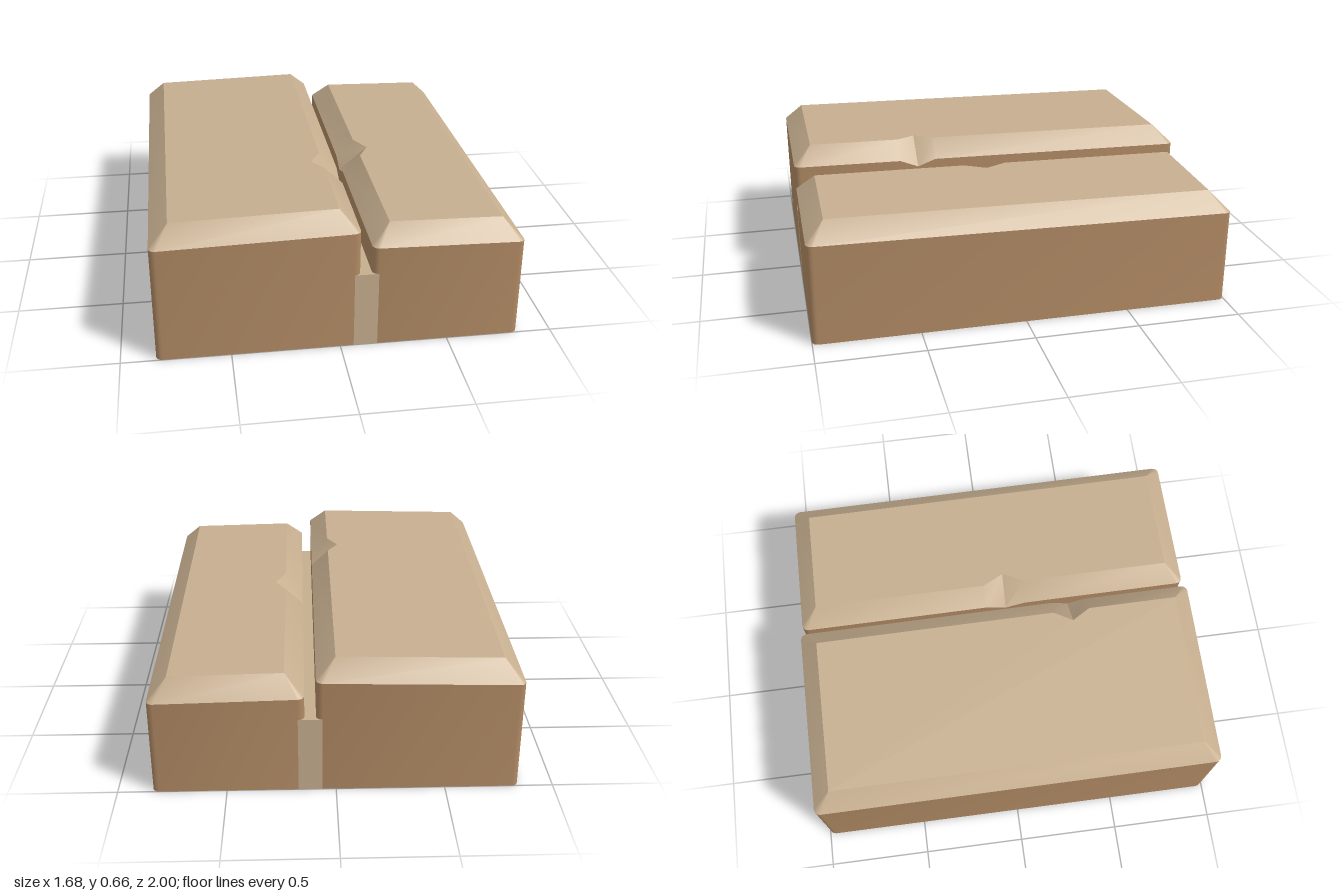
import * as THREE from 'three';
import { toCreasedNormals } from 'three/addons/utils/BufferGeometryUtils.js';

const RADIUS = 0.03, BEVEL = 0.088, STEPS = 4;

export function createModel() {
  const tan = new THREE.MeshStandardMaterial({ color: 0xc6ae8f });
  tan.name = 'paleStone';
  const brown = new THREE.MeshStandardMaterial({ color: 0xb18a64 });
  brown.name = 'brownStone';

  const model = new THREE.Group();
  model.name = 'stoneBlocks';

  const makeMesh = (name, tris, material) => {
    const g = new THREE.BufferGeometry();
    g.setAttribute('position', new THREE.Float32BufferAttribute(tris.flatMap(p => p.toArray()), 3));
    const mesh = new THREE.Mesh(toCreasedNormals(g, 0.5), material);
    mesh.name = name;
    return mesh;
  };

  // Skin between two matching rings, skipping collapsed triangles
  const skin = (low, high) => {
    const tris = [];
    const add = (a, b, c) => {
      if (a.distanceTo(b) > 1e-6 && b.distanceTo(c) > 1e-6 && c.distanceTo(a) > 1e-6) tris.push(a, b, c);
    };
    low.forEach((a, i) => {
      const j = (i + 1) % low.length;
      add(a, low[j], high[j]);
      add(a, high[j], high[i]);
    });
    return tris;
  };

  // Flat cover over a ring, facing up or down
  const cover = (ring, up) => {
    const flat = ring.map(p => new THREE.Vector2(p.x, -p.z));
    return THREE.ShapeUtils.triangulateShape(flat, []).flatMap(([a, b, c]) => {
      const area = flat[b].clone().sub(flat[a]).cross(flat[c].clone().sub(flat[a]));
      return (area > 0) === up ? [ring[a], ring[b], ring[c]] : [ring[a], ring[c], ring[b]];
    });
  };

  // A block with slanted, bevelled top and one chipped edge
  const makeBlock = (name, x0, x1, rimY, chip) => {
    const rim = [], top = [], base = [];
    const put = (x, z, tx, tz, drop = 0) => {
      rim.push(new THREE.Vector3(x, rimY(x, z) - drop, z));
      base.push(new THREE.Vector3(x, 0, z));
      top.push(new THREE.Vector3(tx, rimY(tx, tz) + BEVEL, tz));
    };
    // Corners run counter-clockwise seen from above
    const corners = [[1, 1], [1, -1], [-1, -1], [-1, 1]];
    corners.forEach(([sx, sz], k) => {
      const ex = sx > 0 ? x1 : x0;
      for (let i = 0; i <= STEPS; i++) {
        const a = -Math.PI / 2 + (k + i / STEPS) * Math.PI / 2;
        put(ex - sx * RADIUS + RADIUS * Math.cos(a), sz * (1 - RADIUS) - RADIUS * Math.sin(a),
          ex - sx * BEVEL, sz * (1 - BEVEL));
      }
      // The chip cuts a groove through rim and bevel
      if (chip.side === sx && k % 2 === 0) {
        const inner = ex - sx * BEVEL;
        put(ex, chip.z + sx * chip.half, inner, chip.z + sx * chip.half);
        put(ex, chip.z, inner - sx * 0.053, chip.z, 0.035);
        put(ex, chip.z - sx * chip.half, inner, chip.z - sx * chip.half);
      }
    });

    const topRing = top.filter((p, i) => p.distanceTo(top[(i + 1) % top.length]) > 1e-6);
    const group = new THREE.Group();
    group.name = name;
    group.add(
      makeMesh(name + 'Walls', skin(base, rim), brown),
      makeMesh(name + 'Bevel', skin(rim, top), tan),
      makeMesh(name + 'Top', cover(topRing, true), tan),
      makeMesh(name + 'Underside', cover(base, false), tan));
    return group;
  };

  model.add(
    makeBlock('wideBlock', -0.84, 0.09, (x, z) => 0.564 + 0.0237 * x + 0.0135 * z,
      { side: 1, z: 0.38, half: 0.09 }),
    makeBlock('narrowBlock', 0.142, 0.84, (x, z) => 0.49 - 0.0214 * x + 0.013 * z,
      { side: -1, z: 0.065, half: 0.105 }));

  // Joint filling between the blocks
  const joint = new THREE.Mesh(new THREE.BoxGeometry(0.11, 0.37, 2), tan);
  joint.name = 'joint';
  joint.position.set(0.117, 0.185, 0);
  model.add(joint);

  return model;
}
